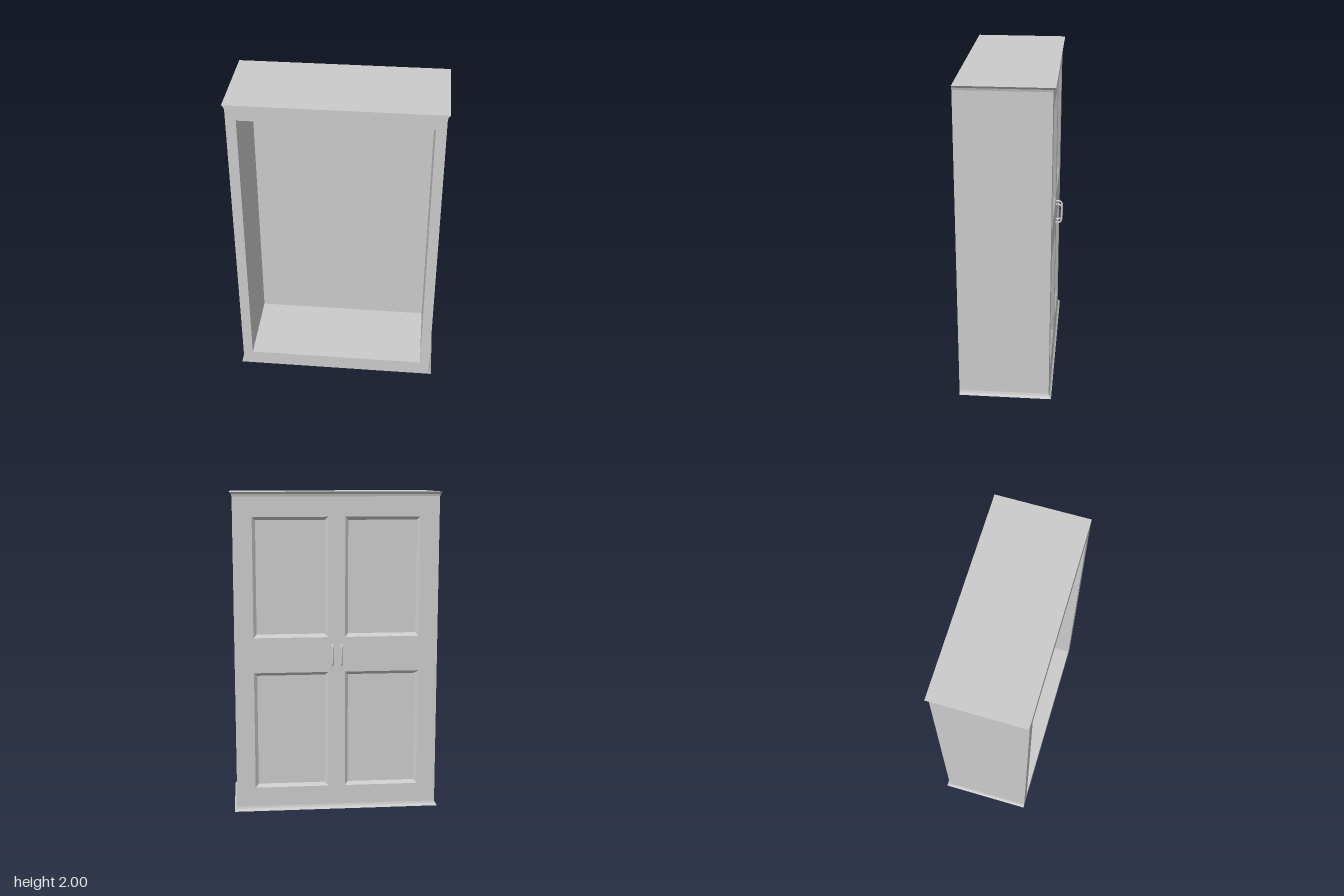
import * as THREE from 'three';

const W = 0.633, FRONT = 0.303, DOOR = -0.259, CAVITY = -0.2, RECESS = 0.02;
// Flare of the mouldings: [height, outward offset]
const LEVELS = [[0, 0.016], [0.014, 0.004], [0.028, 0], [1.972, 0], [1.986, 0.004], [2, 0.016]];

// Upright rectangle, counter-clockwise seen from +z
const rect = (x0, y0, x1, y1, z) => [[x0, y0, z], [x1, y0, z], [x1, y1, z], [x0, y1, z]];
// Level outline of the carcass, counter-clockwise seen from above
const outline = ([y, o]) => [[-W - o, y, FRONT], [W + o, y, FRONT], [W + o, y, DOOR - o], [-W - o, y, DOOR - o]];

const quad = (out, a, b, c, d) => out.push(...a, ...b, ...c, ...a, ...c, ...d);

// Band of quads between two four-point loops
function band(out, a, b, edges = [0, 1, 2, 3]) {
  for (const i of edges) {
    const j = (i + 1) % 4;
    quad(out, a[i], a[j], b[j], b[i]);
  }
}

const material = new THREE.MeshStandardMaterial({ color: 0xcccccc });

function addMesh(group, name, geometry) {
  const mesh = new THREE.Mesh(geometry, material);
  mesh.name = name;
  group.add(mesh);
  return mesh;
}

function addFaces(group, name, positions) {
  const g = new THREE.BufferGeometry();
  g.setAttribute('position', new THREE.Float32BufferAttribute(positions, 3));
  g.computeVertexNormals();
  return addMesh(group, name, g);
}

function flatShape(points, holes) {
  const vec = (p) => new THREE.Vector2(p[0], p[1]);
  const shape = new THREE.Shape(points.map(vec));
  for (const h of holes) shape.holes.push(new THREE.Path(h.map(vec)));
  return new THREE.ShapeGeometry(shape);
}

export function createModel() {
  const model = new THREE.Group();
  model.name = 'wardrobe';

  // Side walls, top, bottom and flared mouldings
  const shell = [];
  const loops = LEVELS.map(outline);
  for (let i = 0; i < loops.length - 1; i++) {
    band(shell, loops[i], loops[i + 1], i === 2 ? [1, 3] : [1, 2, 3]);
  }
  quad(shell, ...loops[loops.length - 1]);
  quad(shell, ...[...loops[0]].reverse());
  addFaces(model, 'carcass', shell);

  // Frame around the open side
  const opening = [-0.57, 0.1, 0.57, 1.905];
  const right = LEVELS.map(([y, o]) => [W + o, y]);
  const left = LEVELS.map(([y, o]) => [-W - o, y]).reverse();
  const frame = flatShape([...right, ...left], [rect(...opening, 0)]);
  addMesh(model, 'openingFrame', frame.translate(0, 0, FRONT));

  // Hollow interior
  const cavity = [];
  const inner = rect(...opening, CAVITY);
  band(cavity, rect(...opening, FRONT), inner);
  quad(cavity, ...inner);
  addFaces(model, 'interior', cavity);

  // Door face with four sunken, bevelled panels
  const panels = [];
  for (const [x0, x1] of [[-0.515, -0.052], [0.052, 0.515]]) {
    for (const [y0, y1] of [[0.15, 0.89], [1.11, 1.85]]) panels.push([x0, y0, x1, y1]);
  }
  const doors = flatShape(rect(-W, LEVELS[2][0], W, LEVELS[3][0], 0), panels.map((p) => rect(...p, 0)));
  addMesh(model, 'doorFace', doors.rotateY(Math.PI).translate(0, 0, DOOR));
  for (const [x0, y0, x1, y1] of panels) {
    const faces = [];
    const r = RECESS;
    const sunk = rect(x0 + r, y0 + r, x1 - r, y1 - r, DOOR + r);
    band(faces, sunk, rect(x0, y0, x1, y1, DOOR));
    quad(faces, ...[...sunk].reverse());
    addFaces(model, 'doorPanel', faces);
  }

  // Pair of rounded bow handles
  const v = (y, z) => new THREE.Vector3(0, y, z);
  const lo = 0.937, hi = 1.063, out = -0.297, bend = 0.026;
  const path = new THREE.CurvePath();
  path.add(new THREE.LineCurve3(v(lo, DOOR + 0.01), v(lo, out + bend)));
  path.add(new THREE.QuadraticBezierCurve3(v(lo, out + bend), v(lo, out), v(lo + bend, out)));
  path.add(new THREE.LineCurve3(v(lo + bend, out), v(hi - bend, out)));
  path.add(new THREE.QuadraticBezierCurve3(v(hi - bend, out), v(hi, out), v(hi, out + bend)));
  path.add(new THREE.LineCurve3(v(hi, out + bend), v(hi, DOOR + 0.01)));
  const handle = new THREE.TubeGeometry(path, 48, 0.006, 12);
  for (const side of [-1, 1]) {
    addMesh(model, side > 0 ? 'leftHandle' : 'rightHandle', handle).position.x = side * 0.028;
  }
  return model;
}
